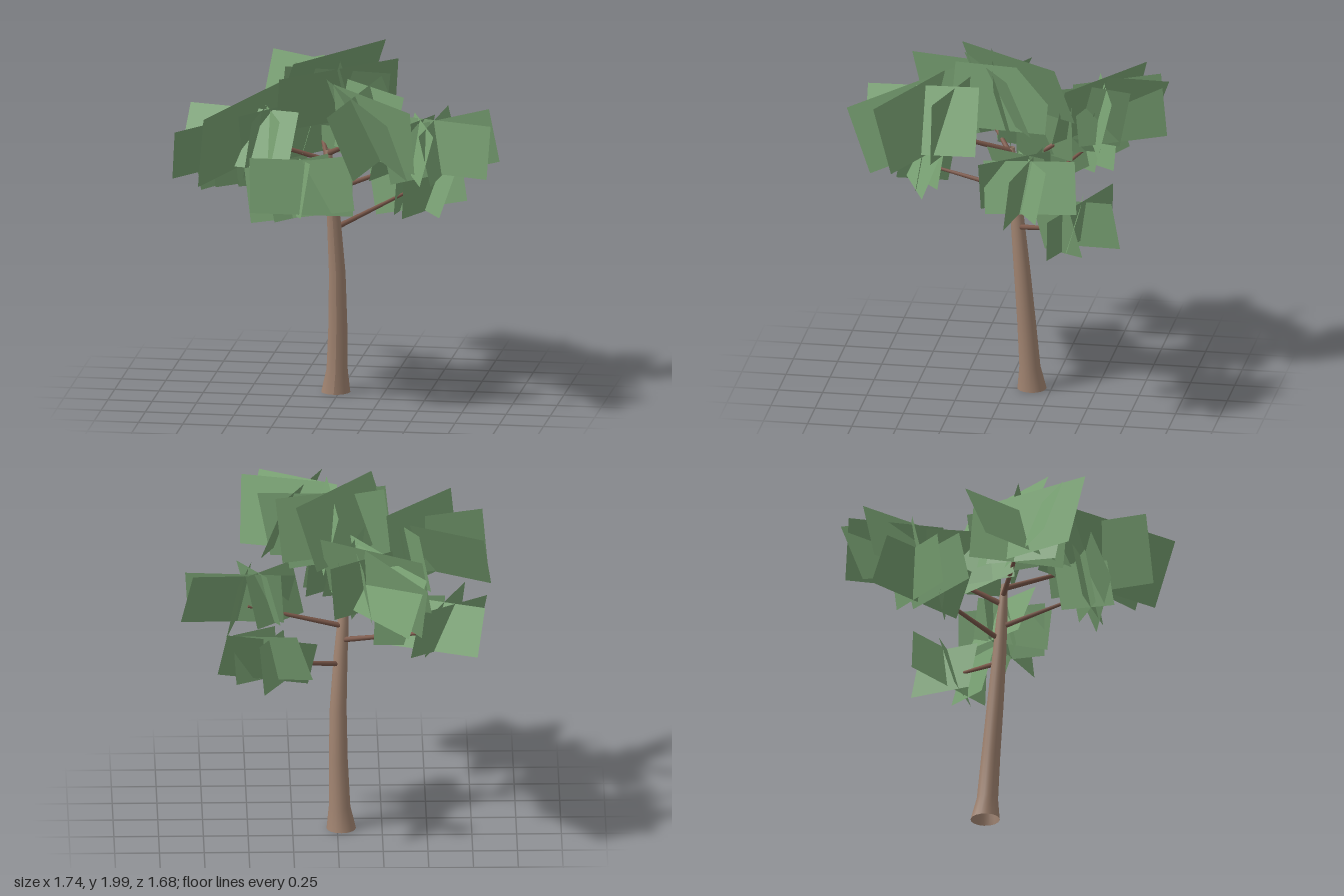
import * as THREE from 'three';

const bark = new THREE.MeshStandardMaterial({ color: 0xa08370, side: THREE.DoubleSide });
bark.name = 'bark brown';
const twig = new THREE.MeshStandardMaterial({ color: 0x7d5a4c });
twig.name = 'branch brown';
const leaf = new THREE.MeshStandardMaterial({ color: 0x7aa374, side: THREE.DoubleSide });
leaf.name = 'leaf green';

// Trunk: an open tube whose rings follow [y, x, z, radius]
function makeTrunk() {
  const rings = [
    [0, -0.022, -0.14, 0.082], [0.13, -0.013, -0.13, 0.06], [0.4, -0.006, -0.112, 0.053],
    [0.7, -0.006, -0.087, 0.047], [1.0, -0.02, -0.058, 0.039], [1.2, -0.034, -0.04, 0.032],
    [1.42, -0.045, -0.02, 0.018],
  ];
  const n = rings.length - 1;
  const geo = new THREE.CylinderGeometry(1, 1, 1, 16, n, true);
  const pos = geo.attributes.position;
  for (let i = 0; i < pos.count; i++) {
    const [y, x, z, r] = rings[Math.round((pos.getY(i) + 0.5) * n)];
    pos.setXYZ(i, x + pos.getX(i) * r, y, z + pos.getZ(i) * r);
  }
  geo.computeVertexNormals();
  const mesh = new THREE.Mesh(geo, bark);
  mesh.name = 'trunk';
  return mesh;
}

// Branch: a thin tapered cylinder between two points
function makeBranch(from, to) {
  const a = new THREE.Vector3(...from), b = new THREE.Vector3(...to);
  const dir = b.clone().sub(a);
  const mesh = new THREE.Mesh(new THREE.CylinderGeometry(0.008, 0.016, dir.length(), 8), twig);
  mesh.position.copy(a).add(b).multiplyScalar(0.5);
  mesh.quaternion.setFromUnitVectors(new THREE.Vector3(0, 1, 0), dir.normalize());
  mesh.name = 'branch';
  return mesh;
}

// Leaf card: a tilted rectangle over the ground line (x1,z1)-(x2,z2);
// lean shifts its top edge sideways, rise lifts its far end,
// dy and dh adjust the cluster's height and card size
function makeCard(y, baseH, [x1, z1, x2, z2, lean, rise, dy = 0, dh = 0]) {
  const h = baseH + dh;
  const dx = x2 - x1, dz = z2 - z1, len = Math.hypot(dx, dz);
  const along = new THREE.Vector3(dx / len, 0, dz / len);
  const side = new THREE.Vector3(-dz / len, 0, dx / len);
  const up = new THREE.Vector3(0, Math.sqrt(h * h - lean * lean), 0)
    .addScaledVector(side, lean).normalize();
  const normal = new THREE.Vector3().crossVectors(along, up);
  const geo = new THREE.PlaneGeometry(len * 0.97, h);
  geo.rotateZ(Math.atan2(rise, len));
  geo.applyMatrix4(new THREE.Matrix4().makeBasis(along, up, normal));
  geo.translate((x1 + x2) / 2, y + dy, (z1 + z2) / 2);
  const mesh = new THREE.Mesh(geo, leaf);
  mesh.name = 'leafCard';
  return mesh;
}

function makeCluster(name, y, h, cards) {
  const group = new THREE.Group();
  group.name = name;
  cards.forEach((c) => group.add(makeCard(y, h, c)));
  return group;
}

export function createModel() {
  const tree = new THREE.Group();
  tree.name = 'tree';
  tree.add(makeTrunk());

  // Branches
  const branches = [
    [[-0.03, 1.1, -0.06], [-0.54, 1.27, -0.38]],
    [[-0.01, 0.96, -0.07], [0.37, 1.11, -0.42]],
    [[-0.03, 1.17, -0.04], [-0.1, 1.26, 0.45]],
    [[-0.03, 1.18, -0.05], [0.5, 1.36, -0.2]],
    [[-0.04, 1.4, -0.02], [0.2, 1.59, 0.43]],
    [[-0.04, 1.35, -0.03], [-0.42, 1.52, 0.2]],
    [[-0.04, 1.3, -0.03], [-0.2, 1.58, -0.52]],
  ];
  branches.forEach(([a, b]) => tree.add(makeBranch(a, b)));

  // Foliage: crossed cards around each branch tip
  tree.add(
    makeCluster('backRightLowFoliage', 1.29, 0.28, [
      [-0.8, -0.53, -0.3, -0.16, 0.11, -0.06],
      [-0.82, -0.15, -0.42, -0.55, -0.05, 0.05],
      [-0.7, -0.04, -0.5, -0.45, -0.05, -0.05],
      [-0.6, -0.2, -0.2, -0.3, 0.05, 0.04],
    ]),
    makeCluster('backFoliage', 1.6, 0.35, [
      [-0.45, -0.82, -0.05, -0.38, 0.11, 0.05],
      [-0.5, -0.68, 0.08, -0.3, -0.1, 0.0, 0.05],
      [-0.48, -0.8, -0.13, -0.47, -0.07, 0.15],
      [-0.16, -0.65, -0.12, -0.38, -0.06, 0.05],
      [-0.32, -0.43, 0.04, -0.57, -0.07, -0.06],
    ]),
    makeCluster('backInnerFoliage', 1.54, 0.36, [
      [-0.2, -0.52, -0.14, 0.07, -0.1, 0.06],
      [-0.22, 0.1, -0.03, -0.37, 0.07, -0.05],
      [-0.3, -0.4, 0.0, -0.05, 0.08, 0.05],
    ]),
    makeCluster('backLeftLowFoliage', 1.14, 0.28, [
      [0.17, -0.63, 0.6, -0.33, -0.07, -0.12, 0.02],
      [0.13, -0.43, 0.66, -0.47, -0.08, 0.09],
      [0.29, -0.3, 0.43, -0.7, 0.04, 0.05],
      [0.34, -0.23, 0.58, -0.5, 0.06, 0.05, -0.01],
    ]),
    makeCluster('leftFoliage', 1.41, 0.3, [
      [0.25, -0.09, 0.86, -0.33, -0.07, 0.1],
      [0.3, -0.24, 0.85, -0.14, -0.04, -0.02],
      [0.5, 0.05, 0.6, -0.5, -0.06, 0.06],
      [0.35, -0.32, 0.53, 0.07, -0.07, -0.05],
      [0.22, 0.04, 0.48, -0.35, 0.1, 0.05],
    ]),
    makeCluster('frontLeftFoliage', 1.66, 0.39, [
      [0.12, 0.78, 0.37, 0.1, -0.14, 0.1],
      [0.05, 0.18, 0.45, 0.79, 0.16, -0.14],
      [0.04, 0.28, 0.53, 0.63, 0.09, -0.08],
      [0.05, 0.2, 0.41, 0.36, -0.05, -0.06],
    ]),
    makeCluster('frontLowFoliage', 1.31, 0.31, [
      [-0.39, 0.67, 0.16, 0.38, -0.11, -0.07, 0.02],
      [-0.43, 0.52, 0.17, 0.47, -0.05, 0.08],
      [-0.3, 0.56, 0.05, 0.36, -0.07, 0.05],
      [-0.18, 0.33, -0.08, 0.62, -0.06, 0.04],
    ]),
    makeCluster('rightFoliage', 1.53, 0.34, [
      [-0.85, 0.05, -0.18, 0.37, -0.14, 0.04],
      [-0.84, 0.54, -0.22, 0.07, 0.1, 0.1, 0, -0.03],
      [-0.67, 0.62, -0.3, -0.07, 0.08, 0.1, 0.04, 0.08],
      [-0.43, 0.44, -0.38, 0.0, 0.06, 0.05],
      [-0.5, -0.08, -0.28, 0.42, -0.06, -0.05],
    ]),
    makeCluster('topFoliage', 1.78, 0.36, [
      [-0.26, 0.25, 0.18, -0.37, 0.15, 0.02, 0.03, 0.02],
      [-0.3, 0.24, 0.33, -0.14, 0.13, 0.07, -0.03],
      [-0.3, 0.08, 0.3, -0.02, 0.1, -0.05, -0.05],
      [0.03, -0.25, 0.1, 0.3, 0.08, 0.05, -0.03],
    ]),
  );
  return tree;
}
